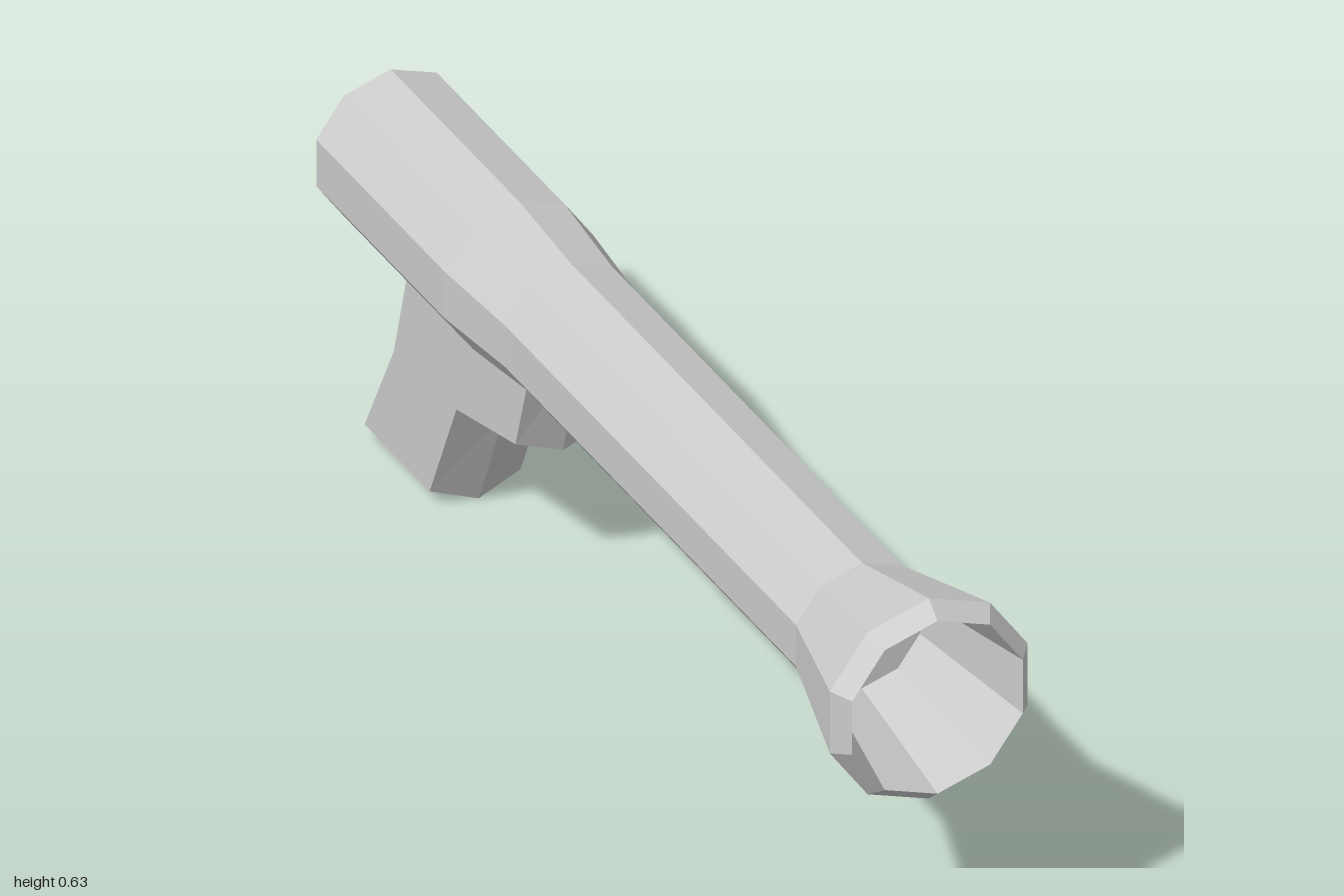
import * as THREE from 'three';

const material = new THREE.MeshStandardMaterial({ color: 0xcccccc, flatShading: true });

// Ten-sided barrel with tapered tail, flared muzzle and hollow mouth: [radius, z]
function makeBarrel() {
  const profile = [
    [0, -1], [0.034, -1], [0.131, -0.88], [0.131, -0.44], [0.116, -0.26],
    [0.116, 0.74], [0.174, 0.97], [0.15, 1], [0.102, 0.74], [0, 0.74],
  ].map(([r, z]) => new THREE.Vector2(r, z));
  const geometry = new THREE.LatheGeometry(profile, 10);
  geometry.rotateX(Math.PI / 2);
  geometry.translate(0, 0.457, 0);
  const mesh = new THREE.Mesh(geometry, material);
  mesh.name = 'barrel';
  return mesh;
}

// Grip: flat cheeks joined by strips that meet in a ridge on the centre line
function makeGrip() {
  const halfWidth = 0.076;
  // [z, y] outlines, running from the front top down and around to the back top
  const cheek = [[-0.243, 0.42], [-0.295, 0.26], [-0.498, 0.215], [-0.59, 0.025],
    [-0.814, 0.025], [-0.713, 0.205], [-0.65, 0.42]];
  const ridge = [[-0.232, 0.42], [-0.287, 0.235], [-0.488, 0.192], [-0.578, 0],
    [-0.828, 0], [-0.733, 0.205], [-0.669, 0.42]];
  const caps = THREE.ShapeUtils.triangulateShape(
    cheek.map(([z, y]) => new THREE.Vector2(-z, y)), []);
  const positions = [];

  for (const side of [1, -1]) {
    const outer = cheek.map(([z, y]) => [side * halfWidth, y, z]);
    const inner = ridge.map(([z, y]) => [0, y, z]);
    const triangle = (a, b, c) =>
      positions.push(...a, ...(side > 0 ? b : c), ...(side > 0 ? c : b));
    for (const [a, b, c] of caps) triangle(outer[a], outer[b], outer[c]);
    for (let i = 0; i < outer.length; i++) {
      const j = (i + 1) % outer.length;
      triangle(inner[i], inner[j], outer[j]);
      triangle(inner[i], outer[j], outer[i]);
    }
  }

  const geometry = new THREE.BufferGeometry();
  geometry.setAttribute('position', new THREE.Float32BufferAttribute(positions, 3));
  geometry.computeVertexNormals();
  const mesh = new THREE.Mesh(geometry, material);
  mesh.name = 'grip';
  return mesh;
}

export function createModel() {
  const group = new THREE.Group();
  group.name = 'launcher';
  group.add(makeBarrel(), makeGrip());
  return group;
}
